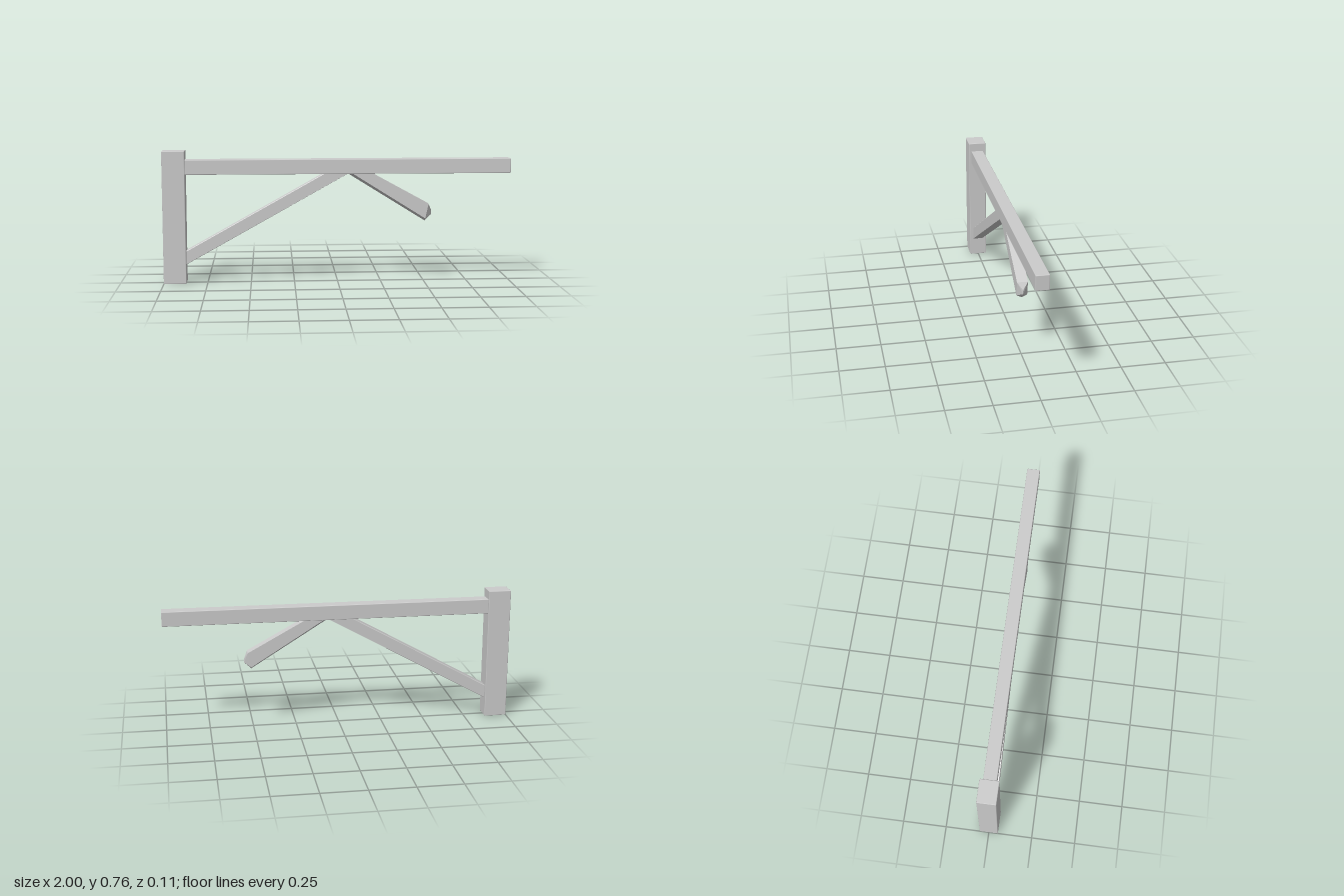
import * as THREE from 'three';
import { RoundedBoxGeometry } from 'three/addons/geometries/RoundedBoxGeometry.js';
import { ConvexGeometry } from 'three/addons/geometries/ConvexGeometry.js';

const material = new THREE.MeshStandardMaterial({ color: 0xcccccc });

function add(group, name, geometry) {
  const mesh = new THREE.Mesh(geometry, material);
  mesh.name = name;
  group.add(mesh);
  return mesh;
}

// Softly eased timber given by its min and max corners in x and y, and its half depth
function timber(group, name, x0, x1, y0, y1, halfZ) {
  const geometry = new RoundedBoxGeometry(x1 - x0, y1 - y0, halfZ * 2, 1, 0.004);
  add(group, name, geometry).position.set((x0 + x1) / 2, (y0 + y1) / 2, 0);
}

export function createModel() {
  const group = new THREE.Group();
  group.name = 'bracket';

  timber(group, 'post', -1, -0.87, 0, 0.763, 0.053);
  timber(group, 'beam', -0.9, 1, 0.627, 0.712, 0.037);

  // Diagonal brace, its ends let into the post and the beam
  const bevel = 0.003;
  const outline = new THREE.Shape([
    [-0.885, 0.101], [0.095, 0.648], [-0.045, 0.648], [-0.885, 0.179],
  ].map(([x, y]) => new THREE.Vector2(x, y)));
  const brace = new THREE.ExtrudeGeometry(outline, {
    depth: 0.06 - 2 * bevel, bevelSize: bevel, bevelThickness: bevel,
    bevelOffset: -bevel, bevelSegments: 1,
  });
  brace.translate(0, 0, -0.03 + bevel);
  add(group, 'brace', brace);

  // Peg hanging below the beam: flat top, keeled underside, ridged tip
  const pegPoints = [];
  const pair = (x, y, z) => pegPoints.push(new THREE.Vector3(x, y, z), new THREE.Vector3(x, y, -z));
  const point = (x, y) => pegPoints.push(new THREE.Vector3(x, y, 0));
  pair(0.13, 0.666, 0.03);
  pair(0.01, 0.676, 0.03);
  point(0, 0.664);
  pair(0.525, 0.45, 0.03);
  pair(0.507, 0.365, 0.03);
  point(0.505, 0.35);
  point(0.545, 0.41);
  point(0.545, 0.387);
  add(group, 'peg', new ConvexGeometry(pegPoints));

  return group;
}
